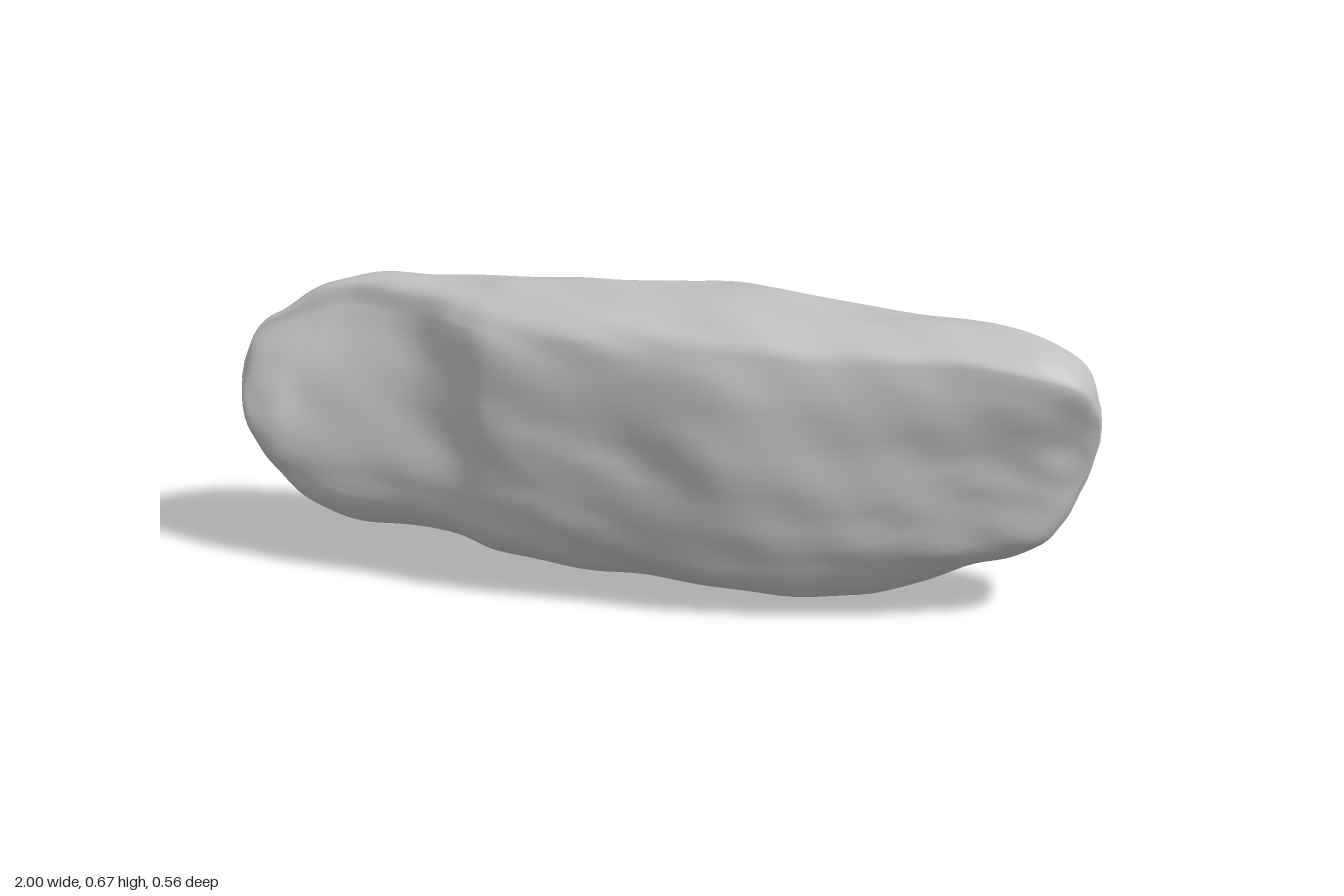
import * as THREE from 'three';
import { mergeVertices } from 'three/addons/utils/BufferGeometryUtils.js';

// Cross-sections along the rock:
// x, top, bottom, front z (top, middle, bottom), back z (bottom, middle, top)
const SECTIONS = [
  [-0.997, 0.44, 0.40, -0.09, -0.08, -0.07, -0.10, -0.11, -0.11],
  [-0.97, 0.51, 0.31, -0.10, -0.04, 0.0, -0.08, -0.12, -0.14],
  [-0.9, 0.57, 0.215, -0.11, 0.01, 0.05, -0.09, -0.14, -0.18],
  [-0.82, 0.61, 0.155, -0.11, 0.03, 0.08, -0.11, -0.16, -0.225],
  [-0.72, 0.635, 0.112, -0.10, 0.06, 0.11, -0.14, -0.18, -0.27],
  [-0.56, 0.642, 0.10, -0.01, 0.105, 0.14, -0.18, -0.20, -0.275],
  [-0.43, 0.65, 0.085, 0.10, 0.155, 0.16, -0.21, -0.20, -0.275],
  [-0.33, 0.66, 0.06, 0.18, 0.21, 0.19, -0.23, -0.205, -0.275],
  [0.0, 0.665, 0.035, 0.22, 0.24, 0.215, -0.255, -0.205, -0.275],
  [0.2, 0.672, 0.008, 0.24, 0.27, 0.23, -0.27, -0.205, -0.265],
  [0.45, 0.645, 0.015, 0.215, 0.23, 0.205, -0.26, -0.205, -0.22],
  [0.7, 0.638, 0.085, 0.18, 0.18, 0.16, -0.18, -0.16, -0.15],
  [0.88, 0.61, 0.155, 0.17, 0.13, 0.11, -0.11, -0.09, -0.075],
  [0.965, 0.56, 0.28, 0.14, 0.085, 0.035, -0.07, -0.045, -0.015],
  [0.997, 0.47, 0.39, 0.07, 0.05, 0.03, -0.01, 0.0, 0.02],
];
const AROUND = 72;
const ALONG = 120;

// Boxy closed outline of one section, running bottom, front, top, back
function outline([x, top, bottom, ft, fm, fb, bb, bm, bt]) {
  const p = (z, f) => new THREE.Vector3(x, bottom + (top - bottom) * f, z);
  const mix = THREE.MathUtils.lerp;
  const curve = new THREE.CatmullRomCurve3([
    p(mix(bb, fb, 0.25), 0.02), p(mix(bb, fb, 0.65), 0.0), p(mix(bb, fb, 0.88), 0.06),
    p(fb, 0.17), p(fm, 0.5), p(ft, 0.9),
    p(mix(bt, ft, 0.85), 0.98), p(mix(bt, ft, 0.5), 1.0), p(mix(bt, ft, 0.14), 0.975),
    p(bt, 0.92), p(bm, 0.52), p(bb, 0.09),
  ], true);
  return Array.from({ length: AROUND }, (_, j) => curve.getPoint(j / AROUND));
}

// Long slanted weathering grooves plus a few broader lumps
function weathering({ x, y, z }) {
  const s = y + 0.16 * x;
  return 0.003 * Math.sin(42 * s + 9 * z + 2 * Math.sin(4 * x))
    + 0.002 * Math.sin(75 * s - 24 * z + 3 * Math.sin(5 * x + 1))
    + 0.003 * Math.sin(11 * x + 17 * z + 19 * y)
    + 0.0015 * Math.sin(29 * x - 22 * z + 26 * y);
}

function rockGeometry() {
  const rings = SECTIONS.map(outline);
  const rails = rings[0].map((_, j) => new THREE.CatmullRomCurve3(rings.map((r) => r[j])));
  const positions = [];
  const index = [];
  const centre = new THREE.Vector3();
  const out = new THREE.Vector3();
  for (let i = 0; i <= ALONG; i++) {
    const ring = rails.map((rail) => rail.getPoint(i / ALONG));
    centre.set(0, 0, 0);
    ring.forEach((p) => centre.addScaledVector(p, 1 / AROUND));
    const fade = Math.min(1, 8 * Math.min(i, ALONG - i) / ALONG);
    ring.forEach((p, j) => {
      out.subVectors(p, centre).setX(0).normalize();
      p.addScaledVector(out, weathering(p) * fade);
      positions.push(p.x, p.y, p.z);
      if (i === ALONG) return;
      const a = i * AROUND + j;
      const c = i * AROUND + (j + 1) % AROUND;
      index.push(a, a + AROUND, c, c, a + AROUND, c + AROUND);
    });
  }
  // Close both tips
  for (const [row, flip] of [[0, false], [ALONG, true]]) {
    const tip = positions.length / 3;
    const s = SECTIONS[row ? SECTIONS.length - 1 : 0];
    positions.push(row ? 1 : -1, (s[1] + s[2]) / 2, (s[4] + s[7]) / 2);
    for (let j = 0; j < AROUND; j++) {
      const a = row * AROUND + j;
      const b = row * AROUND + (j + 1) % AROUND;
      index.push(tip, flip ? b : a, flip ? a : b);
    }
  }
  let geometry = new THREE.BufferGeometry();
  geometry.setAttribute('position', new THREE.Float32BufferAttribute(positions, 3));
  geometry.setIndex(index);
  geometry = mergeVertices(geometry);
  // Rest on the ground and centre the depth
  geometry.computeBoundingBox();
  const { min, max } = geometry.boundingBox;
  geometry.translate(-(min.x + max.x) / 2, -min.y, -(min.z + max.z) / 2);
  geometry.computeVertexNormals();
  return geometry;
}

export function createModel() {
  const stone = new THREE.MeshStandardMaterial({ color: 0xc0c0c0 });
  stone.name = 'grey stone';
  const rock = new THREE.Mesh(rockGeometry(), stone);
  rock.name = 'rock';
  const group = new THREE.Group();
  group.name = 'boulder';
  group.add(rock);
  return group;
}
